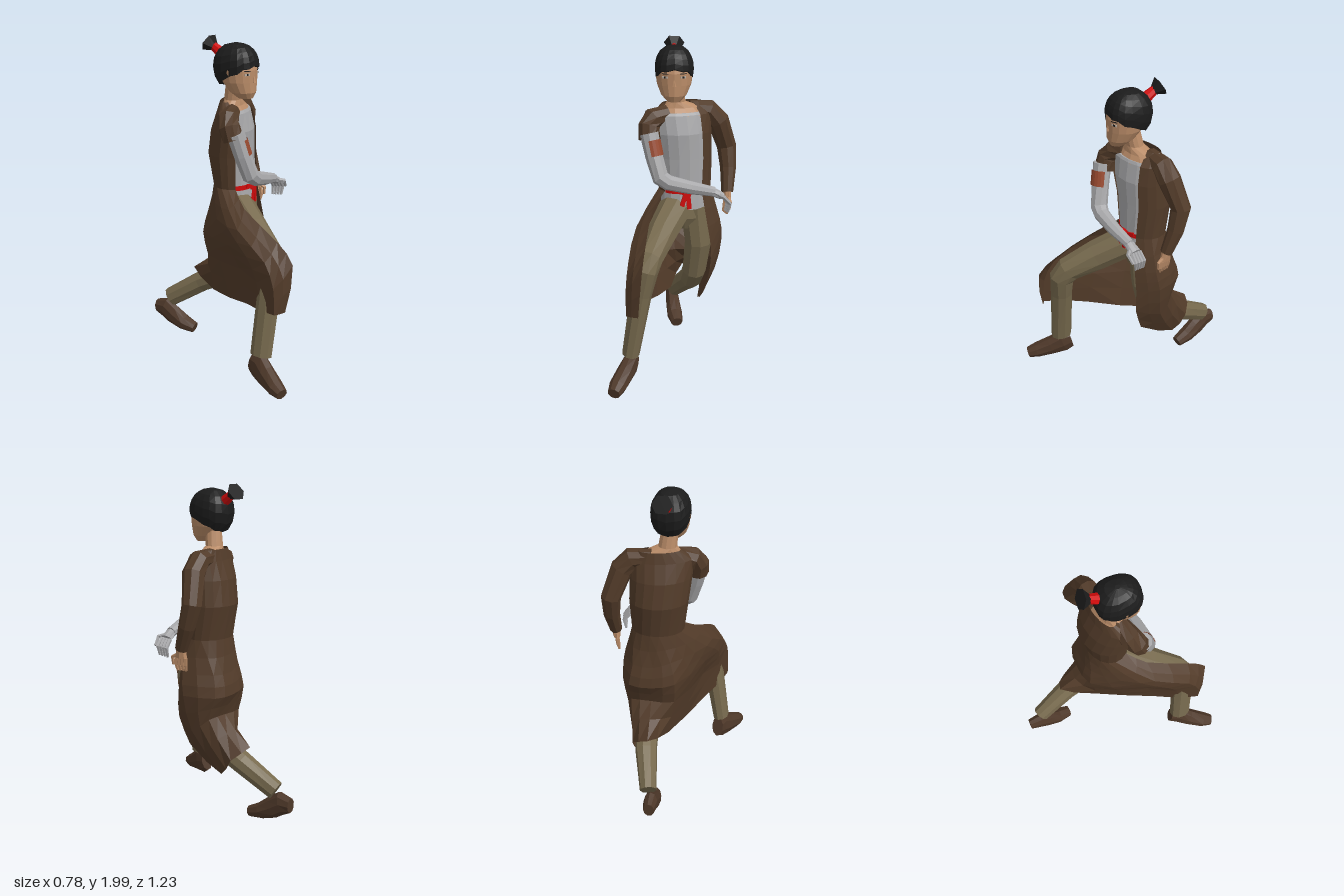
import * as THREE from 'three';

const V = (x, y, z) => new THREE.Vector3(x, y, z);
const X = V(1, 0, 0), Z = V(0, 0, 1);
const FULL = [0, Math.PI * 2];

const makeMat = (name, color, side = THREE.FrontSide) =>
  Object.assign(new THREE.MeshStandardMaterial({ color, side }), { name });

// Faceted surface through rings of points
function loft(rings, closed = true, caps = closed) {
  const out = [], put = (...ps) => ps.forEach(p => out.push(p.x, p.y, p.z));
  const n = rings[0].length, m = closed ? n : n - 1;
  for (let i = 0; i + 1 < rings.length; i++) {
    for (let j = 0; j < m; j++) {
      const k = (j + 1) % n, a = rings[i][j], b = rings[i][k], c = rings[i + 1][k], d = rings[i + 1][j];
      put(a, b, c, a, c, d);
    }
  }
  if (caps) {
    [rings[0], rings[rings.length - 1]].forEach((r, end) => {
      const c = r.reduce((s, p) => s.add(p), V(0, 0, 0)).divideScalar(n);
      for (let j = 0; j < n; j++) {
        const a = r[j], b = r[(j + 1) % n];
        end ? put(c, a, b) : put(c, b, a);
      }
    });
  }
  const g = new THREE.BufferGeometry();
  g.setAttribute('position', new THREE.Float32BufferAttribute(out, 3));
  g.computeVertexNormals();
  return g;
}

const angles = (n, [a0, a1], closed) =>
  Array.from({ length: closed ? n : n + 1 }, (_, j) => a0 + (a1 - a0) * j / n);

// Limb along points [x, y, z, radius along ref, other radius]
function limb(pts, ref = X, n = 9, arc = null) {
  const c = pts.map(p => V(p[0], p[1], p[2]));
  const rings = pts.map((p, i) => {
    const t = V(0, 0, 0);
    if (i > 0) t.add(c[i].clone().sub(c[i - 1]).normalize());
    if (i + 1 < c.length) t.add(c[i + 1].clone().sub(c[i]).normalize());
    t.normalize();
    const u = ref.clone().addScaledVector(t, -ref.dot(t)).normalize();
    const v = t.clone().cross(u);
    return angles(n, arc || FULL, !arc).map(a => c[i].clone()
      .addScaledVector(u, p[3] * Math.cos(a)).addScaledVector(v, (p[4] ?? p[3]) * Math.sin(a)));
  });
  return loft(rings, !arc);
}

// Horizontal ring from [y, cx, cz, rx, rz, yaw]; angle 0 faces front
function ring([y, cx, cz, rx, rz, yaw = 0], n, arc = null, s = 1) {
  return angles(n, arc || FULL, !arc).map(a =>
    V(rx * s * Math.sin(a), 0, rz * s * Math.cos(a)).applyAxisAngle(V(0, 1, 0), yaw).add(V(cx, y, cz)));
}

export function createModel() {
  const root = new THREE.Group();
  root.name = 'lungingFigure';
  const coat = makeMat('coatBrown', 0x523b29, THREE.DoubleSide);
  const trousers = makeMat('trouserKhaki', 0x776a4e);
  const boots = makeMat('bootBrown', 0x4e3829);
  const skin = makeMat('skin', 0xba8c68);
  const grey = makeMat('shirtGrey', 0xa8a8aa);
  const red = makeMat('sashRed', 0xd00a0a, THREE.DoubleSide);
  const rust = makeMat('patchRust', 0x97492f, THREE.DoubleSide);
  const black = makeMat('hairBlack', 0x1c1c1c, THREE.DoubleSide);
  const white = makeMat('eyeWhite', 0xb8aca0);

  const add = (name, geo, mat, parent = root) => {
    const m = new THREE.Mesh(geo, mat);
    m.name = name;
    parent.add(m);
    return m;
  };

  // Torso, twisted toward the model's left
  const body = [
    [0.99, 0.075, -0.015, 0.15, 0.122, 0.2], [1.1, 0.075, -0.02, 0.15, 0.118, 0.2],
    [1.3, 0.065, -0.035, 0.165, 0.132, 0.28], [1.45, 0.055, -0.018, 0.172, 0.122, 0.32],
    [1.56, 0.05, -0.01, 0.175, 0.09, 0.32], [1.625, 0.055, -0.045, 0.115, 0.045, 0.3],
  ];
  const shirtTop = [1.575, 0.05, -0.008, 0.155, 0.08, 0.32];
  add('shirt', loft([...body.slice(0, 5), shirtTop].map(r => ring(r, 16))), grey);
  add('pelvis', loft([[0.86, 0.07, 0, 0.09, 0.07], [0.93, 0.07, 0, 0.135, 0.1],
    [1.03, 0.075, -0.02, 0.14, 0.11]].map(r => ring(r, 12))), trousers);

  // Coat body, open at the front
  const open = [0.5, Math.PI * 2 - 1.05];
  add('coatBody', loft(body.slice(1).map(r => ring(r, 14, open, 1.07)), false), coat);

  // Coat skirt: fold lines from left front edge, round the back, to right front edge
  const waist = ring(body[1], 7, open, 1.07);
  const folds = [
    [[0.21, 0.88, 0.1], [0.23, 0.75, 0.1], [0.225, 0.6, 0.1], [0.19, 0.43, 0.045]],
    [[0.29, 0.9, 0], [0.305, 0.77, -0.02], [0.265, 0.55, -0.05], [0.165, 0.29, -0.2]],
    [[0.2, 0.9, -0.17], [0.22, 0.77, -0.2], [0.22, 0.63, -0.15], [0.18, 0.4, -0.29]],
    [[0.07, 0.9, -0.18], [0.08, 0.77, -0.21], [0.09, 0.64, -0.16], [0.07, 0.47, -0.345]],
    [[-0.03, 0.93, -0.15], [-0.06, 0.79, -0.17], [-0.05, 0.64, -0.14], [-0.01, 0.39, -0.13]],
    [[-0.15, 0.93, 0], [-0.19, 0.8, 0.11], [-0.17, 0.66, 0.18], [-0.18, 0.45, 0.24]],
    [[-0.22, 0.92, 0.2], [-0.265, 0.78, 0.42], [-0.28, 0.64, 0.49], [-0.28, 0.48, 0.5]],
    [[-0.12, 1.02, 0.18], [-0.165, 0.88, 0.44], [-0.185, 0.77, 0.56], [-0.21, 0.48, 0.53]],
  ].map((f, i) => new THREE.CatmullRomCurve3([waist[i], ...f.map(p => V(...p))]));
  const skirt = [];
  for (let i = 8; i >= 0; i--) {
    skirt.push(new THREE.CatmullRomCurve3(folds.map(f => f.getPoint(i / 8))).getPoints(14));
  }
  add('coatSkirt', loft(skirt, false), coat);

  // Legs and boots
  add('rightLeg', limb([[0.01, 0.98, 0.05, 0.1], [-0.07, 0.88, 0.21, 0.09, 0.1], [-0.14, 0.785, 0.375, 0.075, 0.085],
    [-0.165, 0.72, 0.415, 0.072, 0.08], [-0.195, 0.58, 0.41, 0.065, 0.07], [-0.26, 0.19, 0.4, 0.053, 0.068]]), trousers);
  add('leftLeg', limb([[0.13, 0.99, 0, 0.09], [0.155, 0.75, 0, 0.083], [0.135, 0.55, -0.04, 0.075],
    [0.12, 0.47, -0.11, 0.073], [0.09, 0.37, -0.3, 0.068], [0.025, 0.23, -0.51, 0.052, 0.062]]), trousers);
  add('rightBoot', limb([[-0.25, 0.13, 0.338, 0.04, 0.07], [-0.262, 0.118, 0.39, 0.048, 0.088],
    [-0.295, 0.087, 0.46, 0.052, 0.07], [-0.335, 0.054, 0.55, 0.052, 0.05], [-0.355, 0.038, 0.607, 0.038, 0.034]]), boots);
  add('leftBoot', limb([[0, 0.155, -0.605, 0.034, 0.045], [0.005, 0.155, -0.54, 0.044, 0.07],
    [0.012, 0.115, -0.48, 0.048, 0.066], [0.022, 0.074, -0.4, 0.052, 0.05], [0.035, 0.05, -0.32, 0.038, 0.034]]), boots);

  // Arms
  add('leftSleeve', limb([[0.1, 1.58, -0.055, 0.05], [0.215, 1.568, -0.07, 0.064], [0.275, 1.5, -0.085, 0.068],
    [0.333, 1.33, -0.13, 0.06], [0.342, 1.2, -0.095, 0.05], [0.335, 1.06, -0.04, 0.037]], Z), coat);
  add('rightSleeve', limb([[-0.03, 1.57, 0.03, 0.05], [-0.115, 1.545, 0.06, 0.066],
    [-0.143, 1.5, 0.09, 0.064], [-0.14, 1.43, 0.115, 0.062]], Z), coat);
  add('rightArm', limb([[-0.14, 1.47, 0.13, 0.055], [-0.112, 1.34, 0.16, 0.052], [-0.075, 1.22, 0.19, 0.052],
    [-0.03, 1.19, 0.195, 0.047], [0.1, 1.155, 0.18, 0.04], [0.24, 1.12, 0.15, 0.03]], Z), grey);
  add('armPatch', limb([[-0.131, 1.43, 0.142, 0.058], [-0.113, 1.34, 0.162, 0.058]], Z, 5, [-1.5, 0.2]), rust);

  // Hands: palm, four bent fingers and a thumb
  function hand(name, mat, wrist, knuckle, tip, bend, side) {
    const g = new THREE.Group();
    g.name = name;
    root.add(g);
    add('palm', limb([[...wrist, 0.028], [...knuckle, 0.04, 0.022]], side, 8), mat, g);
    const along = (p, k) => V(...p).addScaledVector(side, k).toArray();
    for (let i = -1.5; i <= 1.5; i++) {
      add('finger', limb([[...along(knuckle, i * 0.019), 0.013], [...along(bend, i * 0.021), 0.012],
        [...along(tip, i * 0.019), 0.008]], side, 5), mat, g);
    }
    const mid = V(...wrist).lerp(V(...knuckle), 0.5);
    add('thumb', limb([[...mid.toArray(), 0.017], [...along(knuckle, 0.056), 0.012],
      [...along(bend, 0.05), 0.008]], Z, 5), mat, g);
  }
  hand('leftHand', skin, [0.335, 1.07, -0.04], [0.333, 1.01, -0.035], [0.322, 0.93, -0.03],
    [0.33, 0.965, -0.03], V(0.3, 0, 0.95).normalize());
  hand('rightHand', grey, [0.22, 1.125, 0.155], [0.29, 1.09, 0.14], [0.318, 0.99, 0.13],
    [0.33, 1.045, 0.132], V(0.2, 0.1, 0.97).normalize());

  // Neck and upper chest, then head
  add('neck', loft([[1.555, 0.06, -0.01, 0.155, 0.088, 0.32], [1.6, 0.05, -0.01, 0.115, 0.06, 0.3],
    [1.635, 0.02, 0, 0.055, 0.05], [1.74, 0.008, 0.02, 0.05, 0.05]].map(r => ring(r, 12))), skin);
  add('head', loft([[1.655, 0.005, 0.1, 0.04, 0.046], [1.69, 0.005, 0.082, 0.074, 0.08],
    [1.75, 0.007, 0.058, 0.1, 0.104], [1.82, 0.007, 0.048, 0.11, 0.115],
    [1.89, 0.007, 0.04, 0.1, 0.105], [1.93, 0.007, 0.04, 0.07, 0.075]].map(r => ring(r, 16))), skin);
  add('nose', limb([[0.005, 1.79, 0.157, 0.005], [0.005, 1.748, 0.16, 0.012]], X, 5), skin);
  for (const s of [-1, 1]) {
    const eye = new THREE.Group();
    eye.name = s > 0 ? 'leftEye' : 'rightEye';
    eye.position.set(0.005 + s * 0.052, 1.8, 0.148);
    eye.rotation.y = s * 0.45;
    root.add(eye);
    add('eyeball', new THREE.BoxGeometry(0.034, 0.012, 0.006), white, eye);
    add('pupil', new THREE.BoxGeometry(0.011, 0.012, 0.008), black, eye);
    add('brow', new THREE.BoxGeometry(0.04, 0.004, 0.008), black, eye).position.y = 0.02;
  }

  // Hair cap: boxy crown, ragged hem, lower at the nape, with a bound topknot
  const square = v => Math.sign(v) * Math.abs(v) ** 0.8;
  const cap = [];
  for (let i = 0; i <= 6; i++) {
    cap.push(angles(18, FULL, true).map((a, j) => {
      const low = 0.06 - 0.46 * (1 - Math.cos(a)) - (j % 2) * 0.07;
      const e = low + (1.5 - low) * i / 6, r = Math.cos(e) ** 0.85;
      return V(0.008 + 0.114 * r * square(Math.sin(a)), 1.84 + (e < 0 ? 0.155 : 0.13) * Math.sin(e),
        0.032 + 0.135 * r * square(Math.cos(a)));
    }));
  }
  add('hair', loft(cap), black);
  add('hairTie', limb([[0.01, 1.89, -0.06, 0.036], [0.01, 1.937, -0.132, 0.026]], X, 8), red);
  add('topknot', limb([[0.01, 1.928, -0.118, 0.025, 0.02], [0.012, 1.955, -0.167, 0.062, 0.056]], X, 6), black);

  // Sash with a bow
  const sash = [1.09, 1.12].map(y => ring([y, ...body[1].slice(1)], 10, [-1.05, 0.75], 1.04));
  add('sash', loft(sash, false), red);
  const bow = new THREE.Group();
  bow.name = 'sashBow';
  bow.position.set(0.085, 1.1, 0.108);
  bow.rotation.y = 0.2;
  root.add(bow);
  add('knot', new THREE.BoxGeometry(0.04, 0.04, 0.025), red, bow);
  for (const s of [-1, 1]) {
    const loop = add('bowLoop', new THREE.BoxGeometry(0.07, 0.026, 0.009), red, bow);
    loop.position.set(s * 0.045, 0.008, -0.002);
    loop.rotation.set(0, s * 0.3, s * 0.2);
    const tail = add('sashTail', new THREE.BoxGeometry(0.027, 0.1, 0.009), red, bow);
    tail.position.set(s * 0.016 - 0.01, -0.05, 0.008);
    tail.rotation.z = s * 0.2 - 0.1;
  }
  return root;
}
